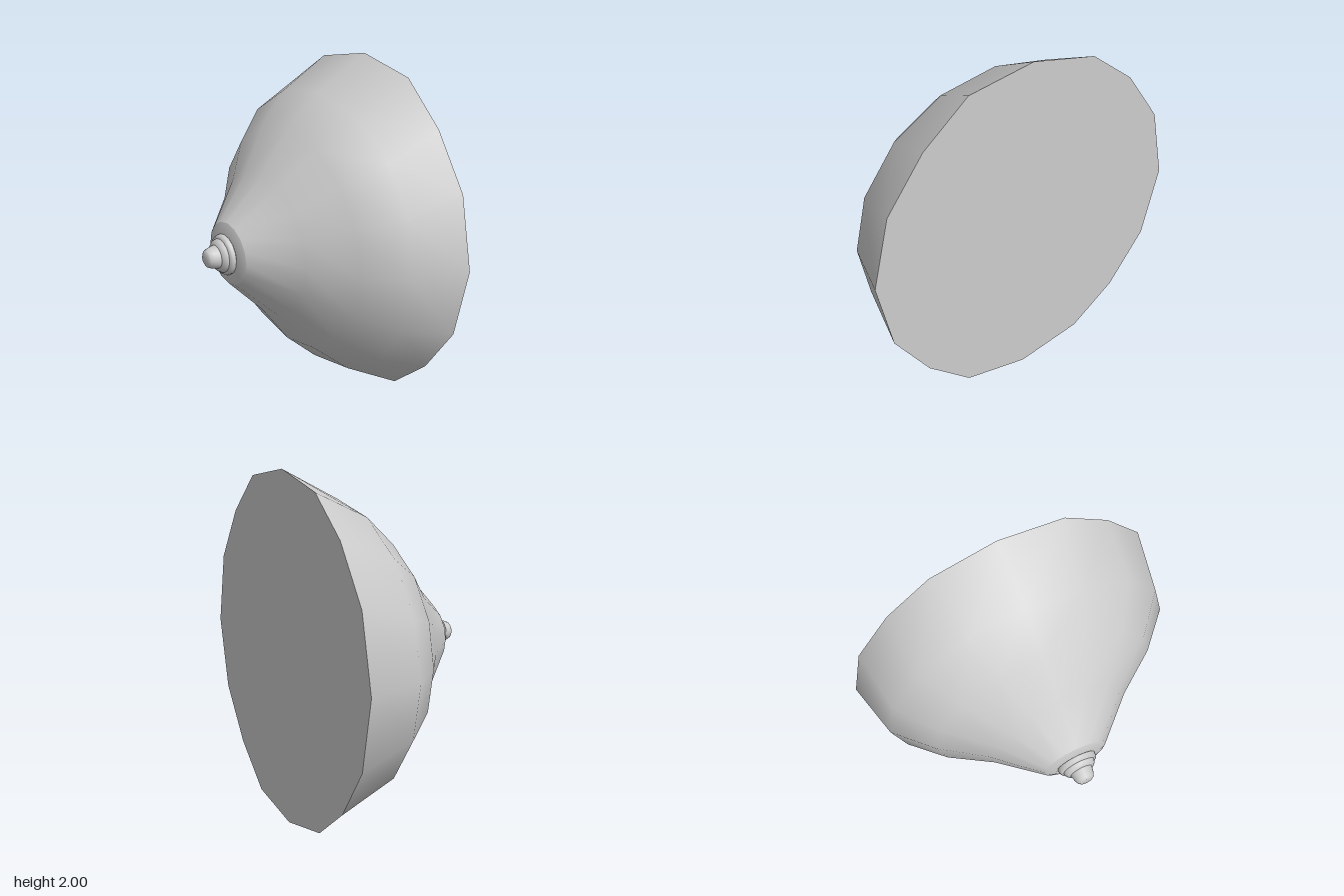
import * as THREE from 'three';

const SIDES = 16;
const material = new THREE.MeshStandardMaterial({ color: 0xcccccc });

// Elliptical ring of [x, y, z] points around the x axis
function ring(x, ry, rz) {
  return Array.from({ length: SIDES }, (_, j) => {
    const a = (j / SIDES) * Math.PI * 2;
    return [x, 1 + ry * Math.cos(a), rz * Math.sin(a)];
  });
}

// Skin joining rings ordered along +x, smooth all the way round
function loft(name, rings) {
  const index = [];
  for (let i = 0; i < rings.length - 1; i++) {
    for (let j = 0; j < SIDES; j++) {
      const k = (j + 1) % SIDES;
      const a = i * SIDES + j, b = i * SIDES + k;
      index.push(a, b, b + SIDES, a, b + SIDES, a + SIDES);
    }
  }
  const geometry = new THREE.BufferGeometry();
  geometry.setAttribute('position', new THREE.Float32BufferAttribute(rings.flat(2), 3));
  geometry.setIndex(index);
  geometry.computeVertexNormals();
  const mesh = new THREE.Mesh(geometry, material);
  mesh.name = name;
  return mesh;
}

export function createModel() {
  const group = new THREE.Group();
  group.name = 'flaredBell';

  // Slightly uneven rim: [height from centre, z], mirrored top to bottom
  const upper = [
    [1, 0], [0.935, 0.38], [0.71, 0.64], [0.41, 0.85], [0, 0.94],
  ];
  const upperBack = [[0.41, -0.85], [0.71, -0.64], [0.915, -0.38]];
  const flip = ([y, z]) => [-y, z];
  const outline = [
    ...upper, ...upper.slice(0, 4).reverse().map(flip),
    ...upperBack.slice().reverse().map(flip), [0, -0.94], ...upperBack,
  ];
  const rim = outline.map(([y, z]) => [0.535, 1 + y, z]);

  // Bell wall
  group.add(loft('bell', [
    ring(-0.39, 0.18, 0.188),
    ring(-0.165, 0.41, 0.43),
    ring(0.01, 0.645, 0.675),
    ring(0.21, 0.825, 0.865),
    rim,
  ]));

  // Flat face closing the wide end
  group.add(loft('endFace', [rim, ring(0.535, 0, 0)]));

  // Bevelled shoulder between the bell and the nozzle
  group.add(loft('shoulder', [
    ring(-0.4, 0.09, 0.09), ring(-0.412, 0.125, 0.13), ring(-0.39, 0.18, 0.188),
  ]));

  // Stepped nozzle with a rounded tip, each step a short collar
  const steps = [
    ['nozzleBase', [[-0.44, 0.085], [-0.438, 0.107], [-0.425, 0.115], [-0.4, 0.118]]],
    ['nozzleCollar', [[-0.47, 0.06], [-0.467, 0.08], [-0.45, 0.094], [-0.435, 0.097]]],
    ['nozzleTip', [[-0.535, 0], [-0.535, 0.034], [-0.525, 0.049], [-0.505, 0.058], [-0.465, 0.068]]],
  ];
  for (const [name, profile] of steps) {
    group.add(loft(name, profile.map(([x, r]) => ring(x, r, r))));
  }
  return group;
}
